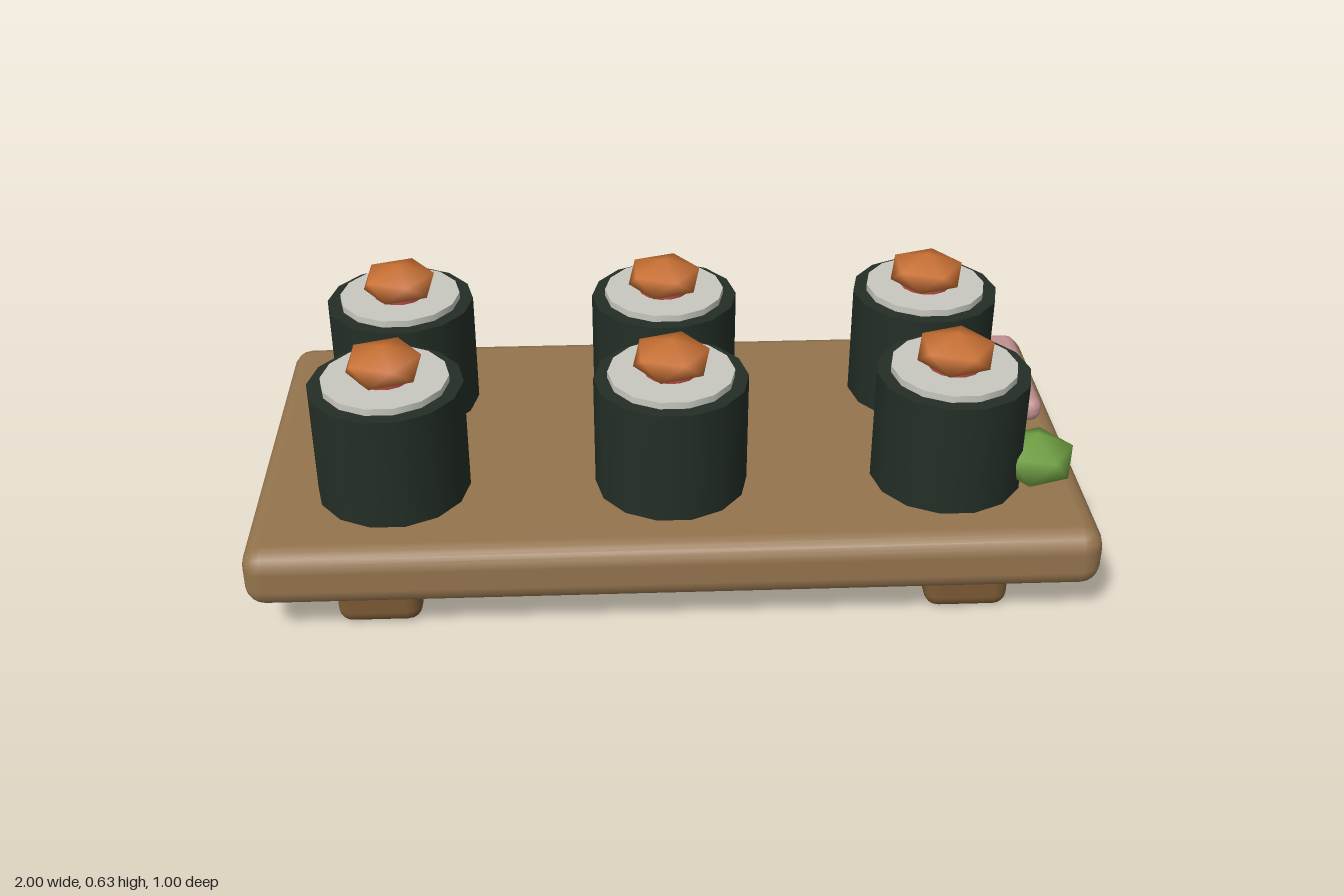
import * as THREE from 'three';
import { mergeVertices } from 'three/addons/utils/BufferGeometryUtils.js';
import { RoundedBoxGeometry } from 'three/addons/geometries/RoundedBoxGeometry.js';

const material = (color) => new THREE.MeshStandardMaterial({ color });
const mats = {
  board: material(0x94744e),
  foot: material(0x7a5a34),
  seaweed: material(0x232e26),
  rice: material(0xc8c8c0),
  fish: material(0xb84a4a),
  roe: material(0xc87033),
  wasabi: material(0x6f9f42),
  ginger: material(0xc29090),
};

function add(parent, name, geometry, mat, x, y, z) {
  const mesh = new THREE.Mesh(geometry, mat);
  mesh.name = name;
  mesh.position.set(x, y, z);
  parent.add(mesh);
  return mesh;
}

// Smooth icosahedron standing on one corner, squashed to a given half height
function nugget(radius, halfHeight) {
  let g = new THREE.IcosahedronGeometry(radius, 0);
  g.rotateZ(-Math.atan2(1, (1 + Math.sqrt(5)) / 2));
  g.scale(1, halfHeight / radius, 1);
  g.deleteAttribute('uv');
  g.deleteAttribute('normal');
  g = mergeVertices(g, 1e-4);
  g.computeVertexNormals();
  return g;
}

// Upright disc with a corner on the x axis
function disc(radius, height) {
  return new THREE.CylinderGeometry(radius, radius, height, 14).rotateY(Math.PI / 2);
}

export function createModel() {
  const model = new THREE.Group();
  model.name = 'sushiBoard';

  // Serving board on two cross feet
  add(model, 'board', new RoundedBoxGeometry(2, 0.15, 1, 2, 0.05), mats.board, 0, 0.175, 0);
  const footGeo = new RoundedBoxGeometry(0.2, 0.11, 0.866, 2, 0.035);
  for (const x of [-0.7, 0.7]) add(model, 'foot', footGeo, mats.foot, x, 0.055, 0);

  // Six rolls: seaweed wrap, rice core, fish and a roe topping
  const wrapGeo = disc(0.183, 0.295);
  const riceGeo = disc(0.15, 0.29);
  const fishGeo = disc(0.064, 0.03);
  const roeGeo = nugget(0.1, 0.048);
  for (const x of [-0.667, 0, 0.667]) {
    for (const z of [-0.208, 0.208]) {
      const roll = new THREE.Group();
      roll.name = 'roll';
      roll.position.set(x, 0, z);
      add(roll, 'seaweed', wrapGeo, mats.seaweed, 0, 0.3875, 0);
      add(roll, 'rice', riceGeo, mats.rice, 0, 0.407, 0);
      add(roll, 'fish', fishGeo, mats.fish, 0, 0.546, 0);
      add(roll, 'roe', roeGeo, mats.roe, 0, 0.587, 0);
      model.add(roll);
    }
  }

  // Garnishes at the left end
  add(model, 'wasabi', nugget(0.1, 0.067), mats.wasabi, 0.873, 0.315, 0.25);
  add(model, 'ginger', new RoundedBoxGeometry(0.205, 0.066, 0.373, 2, 0.03),
    mats.ginger, 0.852, 0.282, -0.187);

  return model;
}
